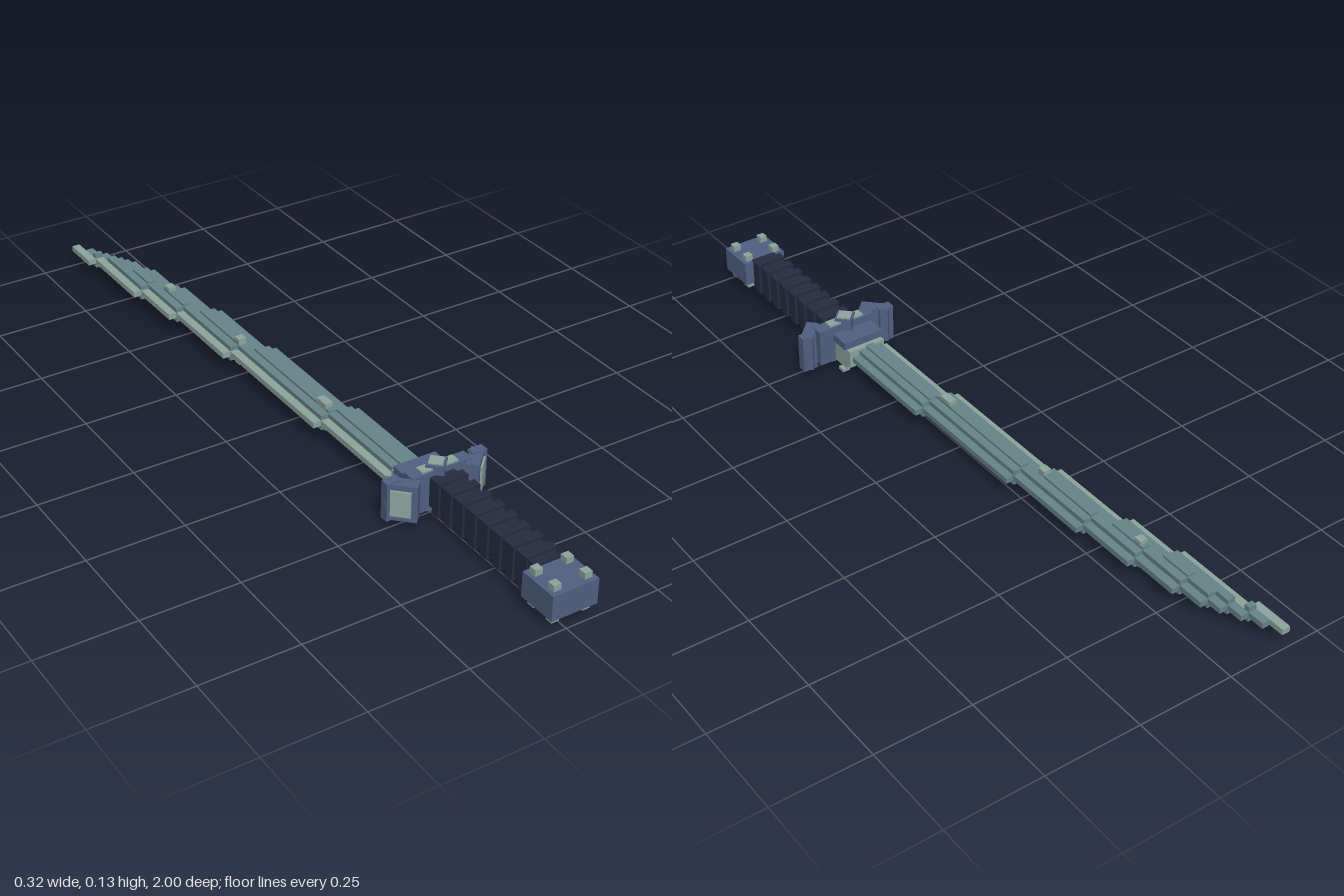
import * as THREE from 'three';

const mat = (name, color) => {
  const m = new THREE.MeshStandardMaterial({ color });
  m.name = name;
  return m;
};

export function createModel() {
  const steel = mat('blade steel', 0x67868a);
  const pale = mat('pale steel', 0x8fa59f);
  const blue = mat('blue iron', 0x506182);
  const wrap = mat('dark wrap', 0x262b40);
  const model = new THREE.Group();
  model.name = 'sword';

  const group = (name) => {
    const g = new THREE.Group();
    g.name = name;
    model.add(g);
    return g;
  };
  // Box given by its min and max on each axis
  const box = (parent, name, m, x0, x1, y0, y1, z0, z1) => {
    const mesh = new THREE.Mesh(new THREE.BoxGeometry(x1 - x0, y1 - y0, z1 - z0), m);
    mesh.position.set((x0 + x1) / 2, (y0 + y1) / 2, (z0 + z1) / 2);
    mesh.name = name;
    parent.add(mesh);
    return mesh;
  };

  // Blade: rows of narrow bars, stepping sideways toward the tip.
  // Each row is [start z, end z, first column, last column].
  const blade = group('blade');
  const W = 0.0215, X0 = -0.163, MID = 0.052;
  const rows = [
    [-1, -0.96, 0, 0], [-0.96, -0.915, 0, 1], [-0.915, -0.9, 0, 2],
    [-0.9, -0.87, 1, 2], [-0.87, -0.83, 1, 3], [-0.83, -0.76, 1, 4],
    [-0.76, -0.675, 1, 5], [-0.675, -0.63, 2, 5], [-0.63, -0.52, 2, 6],
    [-0.52, -0.47, 3, 6], [-0.47, -0.275, 3, 7], [-0.275, -0.23, 4, 7],
    [-0.23, 0.12, 4, 8], [0.12, 0.41, 5, 9],
  ];
  const half = [0.0075, 0.02, 0.026];
  for (const [z0, z1, a, b] of rows) {
    for (let k = a; k <= b; k++) {
      const h = half[Math.min(k - a, b - k, 2)];
      const x = X0 + k * W;
      const edge = k === a;
      box(blade, edge ? 'cuttingEdge' : 'bladeBar', edge ? pale : steel, x, x + W, MID - h, MID + h, z0, z1);
    }
  }
  // Raised bands where the blade steps
  for (const [z, col, len] of [[0.085, 6, 0.04], [-0.28, 5, 0.022], [-0.61, 4, 0.022]]) {
    const x = X0 + col * W;
    box(blade, 'bladeBand', pale, x, x + W, MID - 0.037, MID + 0.037, z - len / 2, z + len / 2);
  }

  // Collar between blade and guard
  const collar = group('collar');
  box(collar, 'collarCore', pale, -0.045, 0.06, 0.03, 0.078, 0.405, 0.475);
  box(collar, 'collarTop', blue, -0.05, 0.065, 0.078, 0.098, 0.42, 0.475);
  box(collar, 'collarBase', pale, -0.04, 0.06, 0.018, 0.03, 0.42, 0.475);
  for (const x of [-0.04, 0.05]) box(collar, 'collarTab', pale, x, x + 0.02, 0.009, 0.018, 0.425, 0.445);

  // Guard: crossbar, angled arms with plates, and a diamond boss
  const guard = group('guard');
  box(guard, 'crossbar', blue, -0.06, 0.105, 0.016, 0.117, 0.475, 0.51);
  box(guard, 'crossbarTrim', pale, -0.03, 0.07, 0.011, 0.122, 0.48, 0.505);
  for (const s of [-1, 1]) {
    const arm = new THREE.Group();
    arm.name = s < 0 ? 'rightArm' : 'leftArm';
    arm.position.set(0.018 + s * 0.1, 0.066, 0.504);
    arm.rotation.y = s * Math.PI / 4;
    box(arm, 'armBlock', blue, -0.038, 0.038, -0.048, 0.048, -0.016, 0.016);
    box(arm, 'armPlate', pale, -0.024, 0.024, -0.034, 0.034, 0.015, 0.021);
    guard.add(arm);
    const x = 0.018 + s * 0.118;
    box(guard, 'armTip', blue, x - 0.02, x + 0.02, 0.016, 0.117, 0.475, 0.498);
  }
  const boss = box(guard, 'boss', blue, -0.004, 0.04, 0.003, 0.129, 0.47, 0.514);
  boss.rotation.y = Math.PI / 4;
  for (const y of [0, 0.129]) {
    const cap = box(guard, 'bossCap', pale, 0.001, 0.035, y, y + 0.003, 0.475, 0.509);
    cap.rotation.y = Math.PI / 4;
  }

  // Grip with raised wrapping
  const grip = group('grip');
  box(grip, 'gripCore', wrap, -0.012, 0.055, 0.028, 0.105, 0.5, 0.9);
  for (let i = 0; i < 8; i++) {
    const z = 0.53 + i * 0.046;
    box(grip, 'wrapBand', wrap, -0.018, 0.063, 0.021, 0.112, z, z + 0.024);
  }

  // Pommel with corner studs
  const pommel = group('pommel');
  box(pommel, 'pommelBlock', blue, -0.042, 0.08, 0.034, 0.1, 0.895, 1);
  for (const x of [-0.032, 0.05])
    for (const z of [0.905, 0.968])
      box(pommel, 'stud', pale, x, x + 0.02, 0.018, 0.116, z, z + 0.02);

  return model;
}
